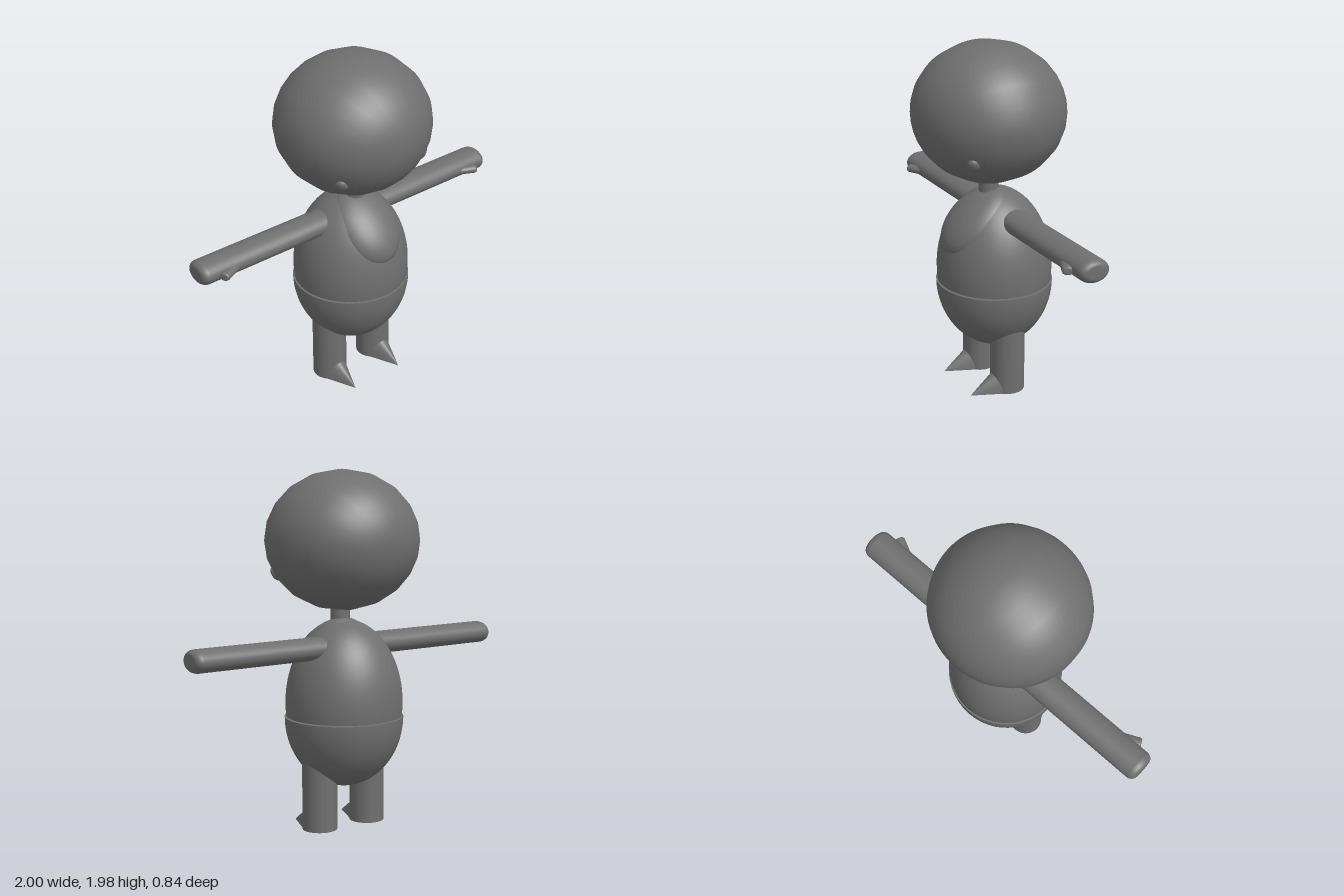
import * as THREE from 'three';
import { toCreasedNormals } from 'three/addons/utils/BufferGeometryUtils.js';

// Rod along +y with a rounded far end and an oval section
function rod(radius, height, length, bevel) {
  const profile = [new THREE.Vector2(radius, 0)];
  for (let i = 0; i <= 6; i++) {
    const a = (i / 6) * Math.PI / 2;
    profile.push(new THREE.Vector2(radius - bevel + bevel * Math.cos(a), length - bevel + bevel * Math.sin(a)));
  }
  profile.push(new THREE.Vector2(0, length));
  return new THREE.LatheGeometry(profile, 40).scale(height / radius, 1, 1);
}

export function createModel() {
  const group = new THREE.Group();
  const mat = new THREE.MeshStandardMaterial({ color: 0x6f6f6f });

  const add = (name, geometry, x, y, z) => {
    const mesh = new THREE.Mesh(geometry, mat);
    mesh.name = name;
    mesh.position.set(x, y, z);
    group.add(mesh);
    return mesh;
  };

  // Head: ellipsoid with its poles facing front and back, coarse around the z axis
  const headGeo = new THREE.SphereGeometry(1, 20, 40).rotateX(Math.PI / 2);
  add('head', headGeo.scale(0.43, 0.385, 0.42), 0, 1.592, 0);
  add('neck', new THREE.CylinderGeometry(0.055, 0.055, 0.16, 32), 0.01, 1.2, 0.005);

  // Torso: upper egg above a slightly wider bowl, with a hairline gap between
  const cx = 0.01, cz = -0.03;
  const upper = new THREE.SphereGeometry(1, 48, 32, 0, Math.PI * 2, 0, Math.acos(-0.147));
  add('torso', upper.scale(0.327, 0.465, 0.322), cx, 0.695, cz);
  const lower = new THREE.SphereGeometry(1, 48, 24, 0, Math.PI * 2, Math.PI / 2, Math.PI / 2);
  add('hips', lower.scale(0.332, 0.392, 0.326), cx, 0.621, cz);
  const cap = new THREE.CircleGeometry(1, 48).rotateX(-Math.PI / 2);
  add('hipCap', cap.scale(0.332, 1, 0.326), cx, 0.621, cz);

  // Bib: flattened ellipsoid leaning back over the chest
  const bib = add('bib', new THREE.SphereGeometry(1, 40, 28).scale(0.188, 0.24, 0.115), 0.014, 0.987, 0.092);
  bib.rotation.x = -Math.atan2(0.35, 0.32);

  // Foot section: half oval standing on the ground
  const footShape = new THREE.Shape();
  footShape.moveTo(0.088, 0);
  footShape.absellipse(0, 0, 0.088, 0.154, 0, Math.PI, false, 0);
  footShape.closePath();

  for (const side of [1, -1]) {
    const label = side > 0 ? 'left' : 'right';

    // Eyes lie flat on the head surface
    const normal = new THREE.Vector3(side * 1.51, -1.3, 1.38);
    const eye = add(label + 'Eye', new THREE.SphereGeometry(1, 20, 14).scale(0.034, 0.041, 0.022), side * 0.277, 1.404, 0.243);
    eye.lookAt(eye.position.clone().add(normal));

    const arm = add(label + 'Arm', rod(0.088, 0.062, 0.9, 0.04), side * 0.1, 1.016, -0.053);
    arm.rotation.z = -side * Math.PI / 2;

    // Thumb: short rod angled outwards and forwards
    const thumb = add(label + 'Thumb', rod(0.031, 0.024, 0.16, 0.013), side * 0.757, 1.01, -0.016);
    thumb.rotation.set(0, -side * Math.atan2(0.43, 0.9), -side * Math.PI / 2, 'YXZ');

    const legX = cx + side * 0.164;
    add(label + 'Leg', new THREE.CylinderGeometry(0.097, 0.097, 0.5, 40), legX, 0.25, -0.025);

    // Foot: half cone tapering to a point on the ground
    const foot = new THREE.ExtrudeGeometry(footShape, { depth: 0.21, bevelEnabled: false, curveSegments: 24 });
    const p = foot.attributes.position;
    for (let i = 0; i < p.count; i++) {
      if (p.getZ(i) > 0.1) p.setXY(i, p.getX(i) * 0.01, p.getY(i) * 0.01);
    }
    add(label + 'Foot', toCreasedNormals(foot, 0.6), legX, 0, 0);
  }
  return group;
}
